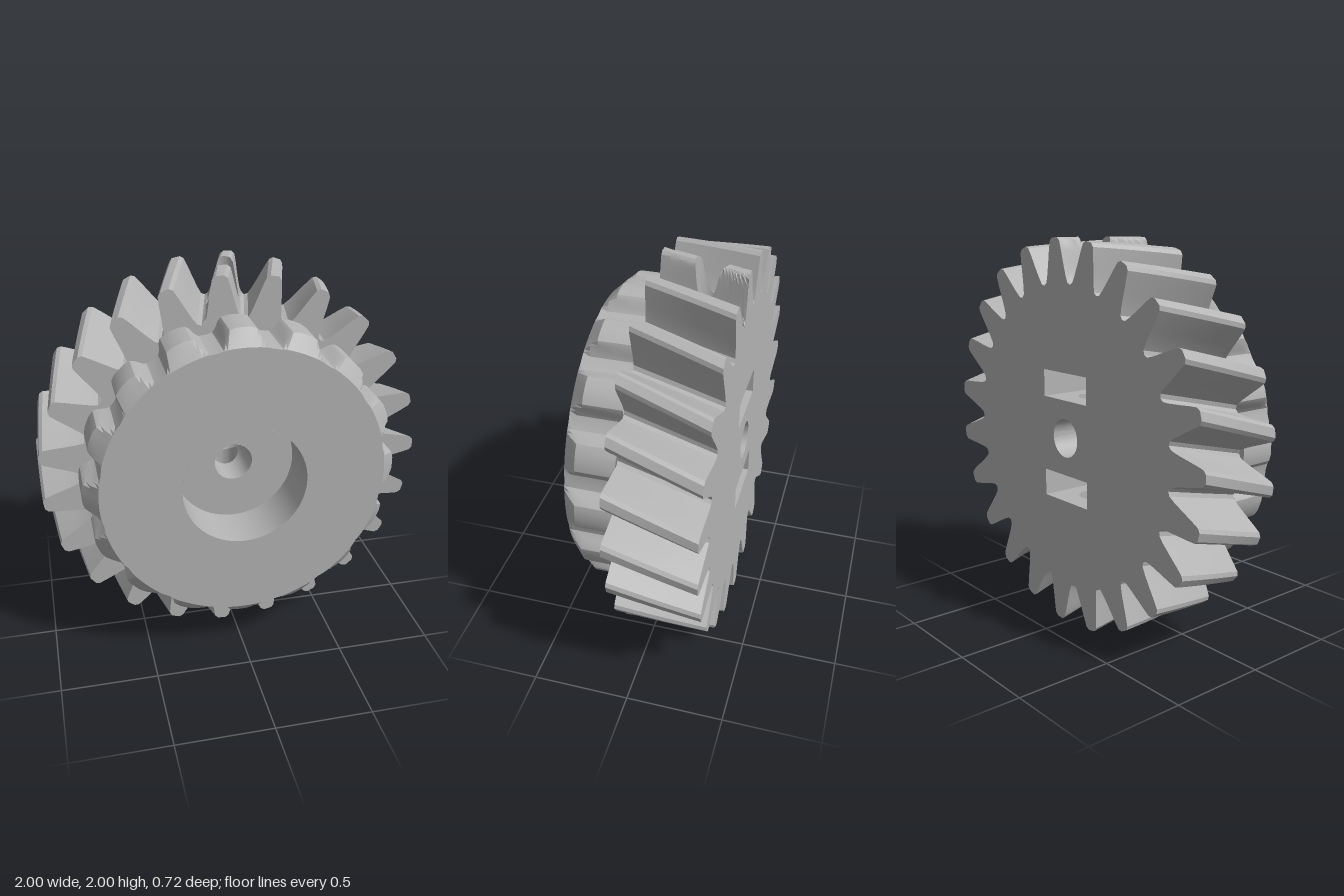
import * as THREE from 'three';
import { toCreasedNormals } from 'three/addons/utils/BufferGeometryUtils.js';

const BACK = -0.36, MID = 0.09, FRONT = 0.36;   // z of the three main planes
const BORE = 0.1, PIN = 0.083, PIN_Z = -0.17;   // axle bore and radial pin hole
const SLOT_X = 0.175, SLOT_IN = 0.195, SLOT_OUT = 0.335, SLOT_END = -0.06;
const TAU = Math.PI * 2;

// Ring of [angle, radius] from a half tooth given as [fraction of half pitch, radius], root to tip
function toothRing(count, half) {
  const h = Math.PI / count, ring = [];
  const tooth = [...half.map(([f, r]) => [-f, r]), ...half.slice(1, -1).reverse()];
  for (let k = 0; k < count; k++) for (const [f, r] of tooth) ring.push([(2 * k + f) * h, r]);
  return ring;
}

function radiusAt(ring, u) {
  const n = ring.length, a0 = ring[0][0];
  u = a0 + ((((u - a0) % TAU) + TAU) % TAU);
  let i = n - 1;
  while (i > 0 && ring[i][0] > u) i--;
  const [a, r] = ring[i], [b, s] = i < n - 1 ? ring[i + 1] : [a0 + TAU, ring[0][1]];
  return r + (s - r) * (u - a) / (b - a);
}

function stripGeometry(rows, out = []) {
  for (let i = 0; i + 1 < rows.length; i++)
    for (let j = 0; j + 1 < rows[i].length; j++) {
      const a = rows[i][j], b = rows[i][j + 1], c = rows[i + 1][j + 1], d = rows[i + 1][j];
      out.push(...a, ...b, ...c, ...a, ...c, ...d);
    }
  return out;
}

function finish(positions) {
  const g = new THREE.BufferGeometry();
  g.setAttribute('position', new THREE.Float32BufferAttribute(positions, 3));
  return toCreasedNormals(g, 0.5);
}

// Wall swept along z from a ring; each cut is an index range pierced by the pin hole.
// Returns the geometry and the rim of every hole.
function ringWall(ring, zs, { twist = () => 0, limit = () => 9, cuts = [] } = {}) {
  const n = ring.length, pos = [], rims = [];
  const angle = j => ring[j % n][0] + TAU * Math.floor(j / n);
  const point = (u, z) => {
    const r = Math.min(radiusAt(ring, u), limit(z)), t = u + twist(z);
    return [r * Math.sin(t), r * Math.cos(t), z];
  };
  for (let j = 0; j < n; j++) {
    if (cuts.some(([a, b]) => j >= a && j < b)) continue;
    stripGeometry([j + 1, j].map(k => zs.map(z => point(angle(k), z))), pos);
  }
  for (const [from, to] of cuts) {
    const mid = (angle(from) + angle(to)) / 2, edge = [];
    const z0 = zs[0], z1 = zs[zs.length - 1];
    for (let j = from; j < to; j++) edge.push([angle(j), z0]);
    for (const z of zs) edge.push([angle(to), z]);
    for (let j = to - 1; j > from; j--) edge.push([angle(j), z1]);
    for (const z of [...zs].reverse()) edge.push([angle(from), z]);
    // match each border point with a point on the round hole
    const hole = edge.map(([u, z]) => {
      const phi = Math.atan2(z - PIN_Z, (u - mid) * radiusAt(ring, u));
      const x = PIN * Math.cos(phi), hz = PIN_Z + PIN * Math.sin(phi);
      let hu = mid;
      for (let i = 0; i < 12; i++)
        hu = mid + Math.asin(x / radiusAt(ring, hu)) - twist(hz);
      return [hu, hz];
    });
    const rows = [], STEPS = 12;
    for (let i = 0; i <= STEPS; i++) {
      const t = i / STEPS;
      rows.push(edge.map(([u, z], k) =>
        point(u + (hole[k][0] - u) * t, z + (hole[k][1] - z) * t)));
    }
    stripGeometry(rows.reverse(), pos);
    rims.push(rows[0]);
  }
  return { geometry: finish(pos), rims };
}

const steps = (a, b, n) => Array.from({ length: n + 1 }, (_, i) => a + (b - a) * i / n);
const circle = (r, x = 0, y = 0) => new THREE.Path().absarc(x, y, r, 0, TAU, true);
const rect = (x0, y0, x1, y1) => [[x0, y0], [x1, y0], [x1, y1], [x0, y1]]
  .map(([x, y]) => new THREE.Vector2(x, y));

export function createModel() {
  const group = new THREE.Group();
  group.name = 'compoundGear';
  const grey = new THREE.MeshStandardMaterial({ color: 0xb4b4b4, side: THREE.DoubleSide });
  grey.name = 'grey';
  const body = new THREE.Group();
  body.name = 'gearBody';
  body.position.y = 1;
  group.add(body);
  const add = (name, geometry, x = 0, y = 0, z = 0) => {
    const m = new THREE.Mesh(geometry, grey);
    m.name = name;
    m.position.set(x, y, z);
    body.add(m);
    return m;
  };

  // Large helical gear rim, pierced at top and bottom
  const half = [[1, 0.775], [0.82, 0.785], [0.68, 0.82], [0.52, 0.88],
    [0.39, 0.94], [0.29, 0.985], [0.16, 1], [0, 1]];
  const gear = toothRing(23, half), M = 2 * (half.length - 1);
  const twist = z => (-0.135 - z) * 0.31;
  const rim = ringWall(gear, steps(BACK, MID, 12), {
    twist, cuts: [[0, M], [11.5 * M, 12.5 * M]],
  });
  add('helicalTeeth', rim.geometry);

  // Flat faces of the large gear; the front one is also the recess floor
  const face = z => {
    const s = new THREE.Shape(gear.map(([a, r]) => new THREE.Vector2(
      r * Math.sin(a + twist(z)), r * Math.cos(a + twist(z)))));
    s.holes.push(circle(BORE));
    return s;
  };
  add('gearFrontFace', new THREE.ShapeGeometry(face(MID), 32), 0, 0, MID);
  const backShape = face(BACK);
  for (const [y0, y1] of [[SLOT_IN, SLOT_OUT], [-SLOT_OUT, -SLOT_IN]])
    backShape.holes.push(new THREE.Path(rect(-SLOT_X, y0, SLOT_X, y1)));
  add('gearBackFace', new THREE.ShapeGeometry(backShape, 32), 0, 0, BACK);

  // Small gear with chamfered teeth
  const small = toothRing(16, [[1, 0.725], [0.76, 0.729], [0.64, 0.748],
    [0.52, 0.782], [0.42, 0.798], [0.2, 0.805], [0, 0.805]]);
  const limit = z => z < 0.285 ? 0.81 : 0.73 + (FRONT - z) / (FRONT - 0.285) * 0.075;
  add('smallGearTeeth', ringWall(small, [MID, 0.2, 0.285, 0.325, FRONT], { limit }).geometry);
  const disc = new THREE.Shape(small.map(([a, r]) => new THREE.Vector2(
    Math.min(r, 0.73) * Math.sin(a), Math.min(r, 0.73) * Math.cos(a))));
  disc.holes.push(circle(0.32));
  add('smallGearFace', new THREE.ShapeGeometry(disc, 48), 0, 0, FRONT);

  // Round recess in the front
  const recess = new THREE.CylinderGeometry(0.32, 0.32, FRONT - MID, 64, 1, true);
  add('recessWall', recess.rotateX(Math.PI / 2), 0, 0, (FRONT + MID) / 2);

  // Axle bore, opened above and below by the pin hole
  const boreRing = steps(-Math.PI / 2, 1.5 * Math.PI, 32).slice(0, 32).map(a => [a, BORE]);
  const bore = ringWall(boreRing, steps(BACK, MID, 12), { cuts: [[0, 16], [16, 32]] });
  add('axleBore', bore.geometry);

  // Pin hole walls from the bore to the slots and from the slots to the rim
  for (const [rims, y] of [[bore.rims, SLOT_IN], [rim.rims, SLOT_OUT]])
    for (const r of rims) {
      const end = r.map(p => [p[0], Math.sign(p[1]) * y, p[2]]);
      add('pinHole', finish(stripGeometry([r, end])));
    }

  // Nut slots sunk into the back
  const depth = SLOT_END - BACK, midZ = (SLOT_END + BACK) / 2;
  const slotHeight = SLOT_OUT - SLOT_IN;
  const plate = new THREE.Shape(rect(-SLOT_X, BACK, SLOT_X, SLOT_END));
  plate.holes.push(circle(PIN, 0, PIN_Z));
  for (const s of [1, -1]) {
    const midY = s * (SLOT_IN + SLOT_OUT) / 2;
    for (const y of [SLOT_IN, SLOT_OUT])
      add('slotPlate', new THREE.ShapeGeometry(plate, 32).rotateX(Math.PI / 2), 0, s * y, 0);
    for (const x of [-SLOT_X, SLOT_X])
      add('slotSide', new THREE.PlaneGeometry(depth, slotHeight).rotateY(Math.PI / 2), x, midY, midZ);
    add('slotEnd', new THREE.PlaneGeometry(2 * SLOT_X, slotHeight), 0, midY, SLOT_END);
  }
  return group;
}
